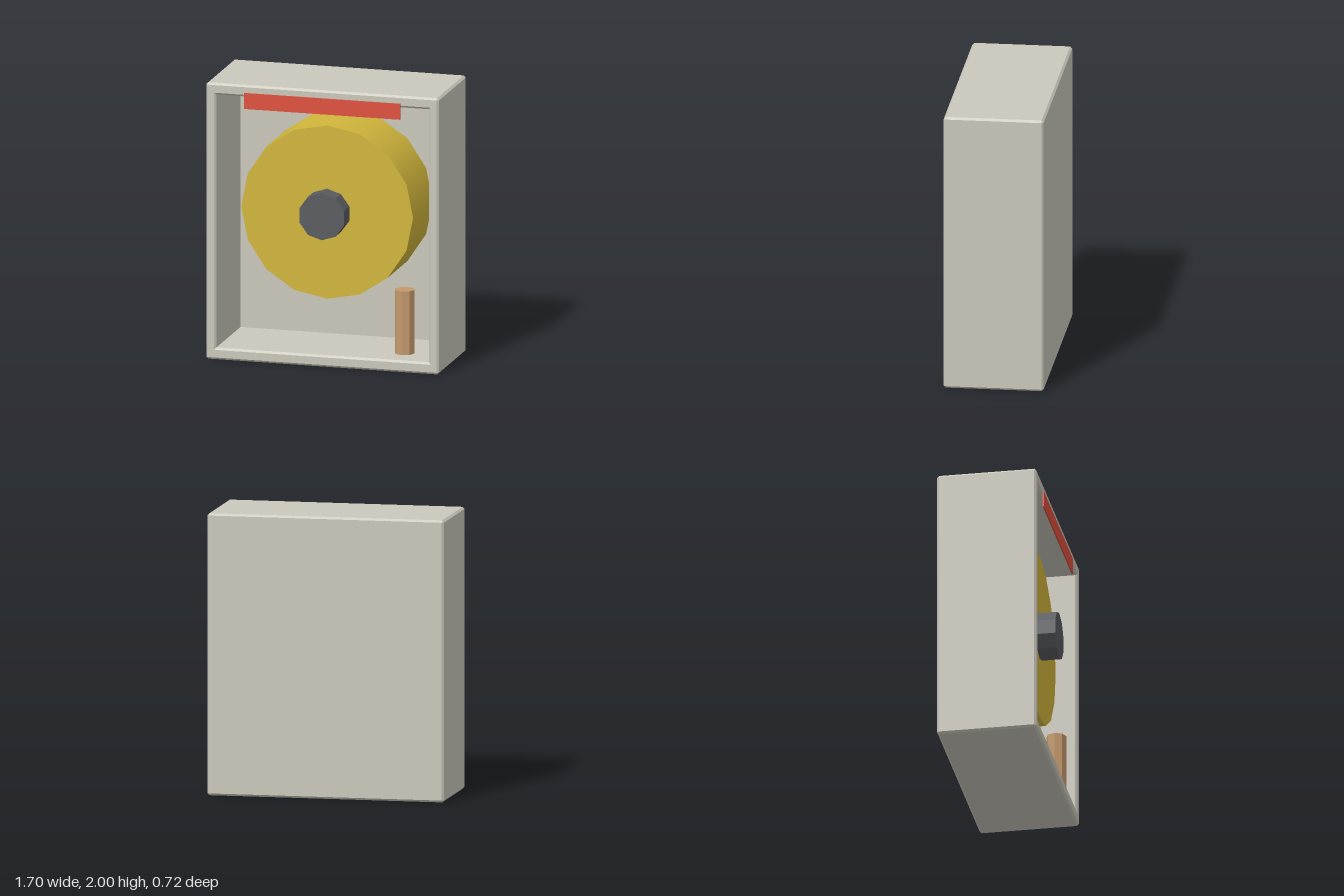
import * as THREE from 'three';

const mat = (color, flatShading = true) => new THREE.MeshStandardMaterial({ color, flatShading });

function add(group, name, geometry, material, x, y, z) {
  const mesh = new THREE.Mesh(geometry, material);
  mesh.name = name;
  mesh.position.set(x, y, z);
  group.add(mesh);
}

// Rectangle with cut corners, anticlockwise from the front; always eight points
function section(w, h, cut, z) {
  return [
    [w, -h + cut], [w, h - cut], [w - cut, h], [-w + cut, h],
    [-w, h - cut], [-w, -h + cut], [-w + cut, -h], [w - cut, -h],
  ].map(([x, y]) => [x, y, z]);
}

// Skin through successive sections
function loft(sections) {
  const n = sections[0].length;
  const index = [];
  for (let i = 0; i < sections.length - 1; i++) {
    for (let j = 0; j < n; j++) {
      const a = i * n + j, b = i * n + (j + 1) % n;
      index.push(a, b, b + n, a, b + n, a + n);
    }
  }
  const geometry = new THREE.BufferGeometry();
  geometry.setAttribute('position', new THREE.Float32BufferAttribute(sections.flat(2), 3));
  geometry.setIndex(index);
  geometry.computeVertexNormals();
  return geometry;
}

export function createModel() {
  const model = new THREE.Group();
  const W = 0.85, H = 1, c = 0.015, back = -0.36, front = 0.347, floor = -0.28;

  // Chamfered case, from the back panel round the rim and into the cavity
  const caseShell = loft([
    section(0, 0, 0, back),
    section(W - c, H - c, 0, back),
    section(W, H, c, back + c),
    section(W, H, c, front - c),
    section(W - c, H - c, 0, front),
    section(0.79, 0.93, 0, front),
    section(0.775, 0.915, 0, front - c),
    section(0.775, 0.915, 0, floor),
    section(0, 0, 0, floor),
  ]);
  add(model, 'case', caseShell, mat(0xcbc8bc), 0, H, 0);

  // Reel and its hub, both lying along z
  const reelFront = 0.22, axisY = 1.09;
  const reelDepth = reelFront - floor, hubDepth = 0.14;
  add(model, 'reel', new THREE.CylinderGeometry(0.627, 0.627, reelDepth, 16).rotateX(-Math.PI / 2),
    mat(0xd2b73c, false), 0, axisY, floor + reelDepth / 2);
  add(model, 'hub', new THREE.CylinderGeometry(0.17, 0.17, hubDepth, 10).rotateX(-Math.PI / 2),
    mat(0x5a5c60), 0, axisY, reelFront + hubDepth / 2);

  // Red strip across the top of the opening
  add(model, 'topStrip', new THREE.BoxGeometry(1.14, 0.115, 0.01), mat(0xe0523f), 0, 1.887, 0.349);

  // Upright wooden handle in the lower corner
  add(model, 'handle', new THREE.CylinderGeometry(0.0715, 0.0715, 0.46, 8), mat(0xc49a6c), 0.57, 0.345, 0.235);

  return model;
}
